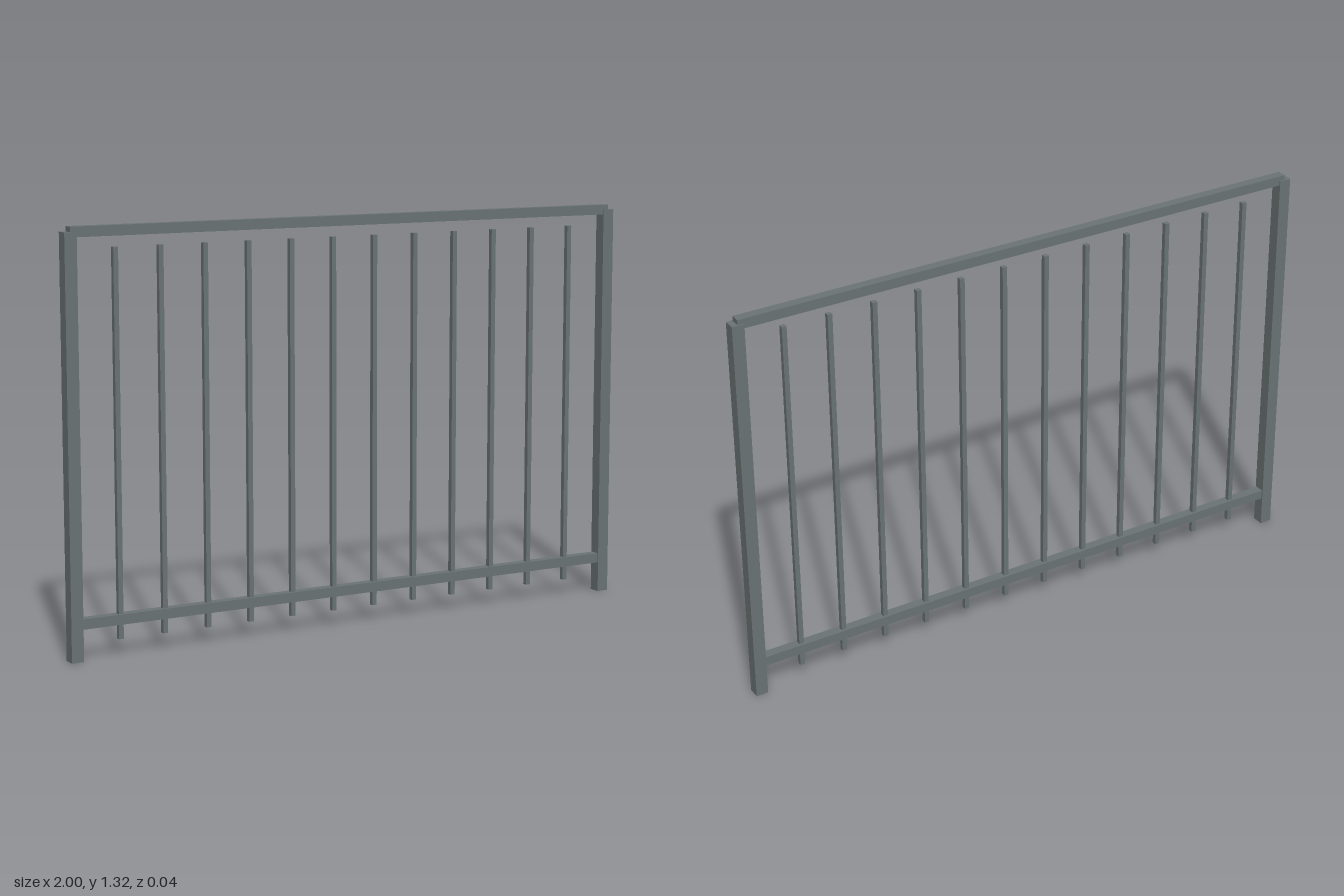
import * as THREE from 'three';

export function createModel() {
  const group = new THREE.Group();
  const steel = new THREE.MeshStandardMaterial({ color: 0x6b7475 });
  steel.name = 'grey steel';

  // Box bar spanning y0..y1, centred on x and on z = 0
  const bar = (name, x, width, y0, y1, depth) => {
    const mesh = new THREE.Mesh(new THREE.BoxGeometry(width, y1 - y0, depth), steel);
    mesh.name = name;
    mesh.position.set(x, (y0 + y1) / 2, 0);
    group.add(mesh);
  };

  // End posts
  bar('leftPost', 0.98, 0.04, 0, 1.308, 0.04);
  bar('rightPost', -0.98, 0.04, 0, 1.308, 0.04);

  // Rails: the top one rests into the posts, the bottom one runs between them
  bar('topRail', 0, 1.96, 1.292, 1.324, 0.032);
  bar('bottomRail', 0, 1.93, 0.1, 0.132, 0.032);

  // Balusters, passing through the bottom rail and stopping short of the top
  const count = 12, spacing = 0.1507;
  for (let i = 0; i < count; i++) {
    bar(`baluster${i + 1}`, (i - (count - 1) / 2) * spacing, 0.016, 0.053, 1.258, 0.016);
  }
  return group;
}
